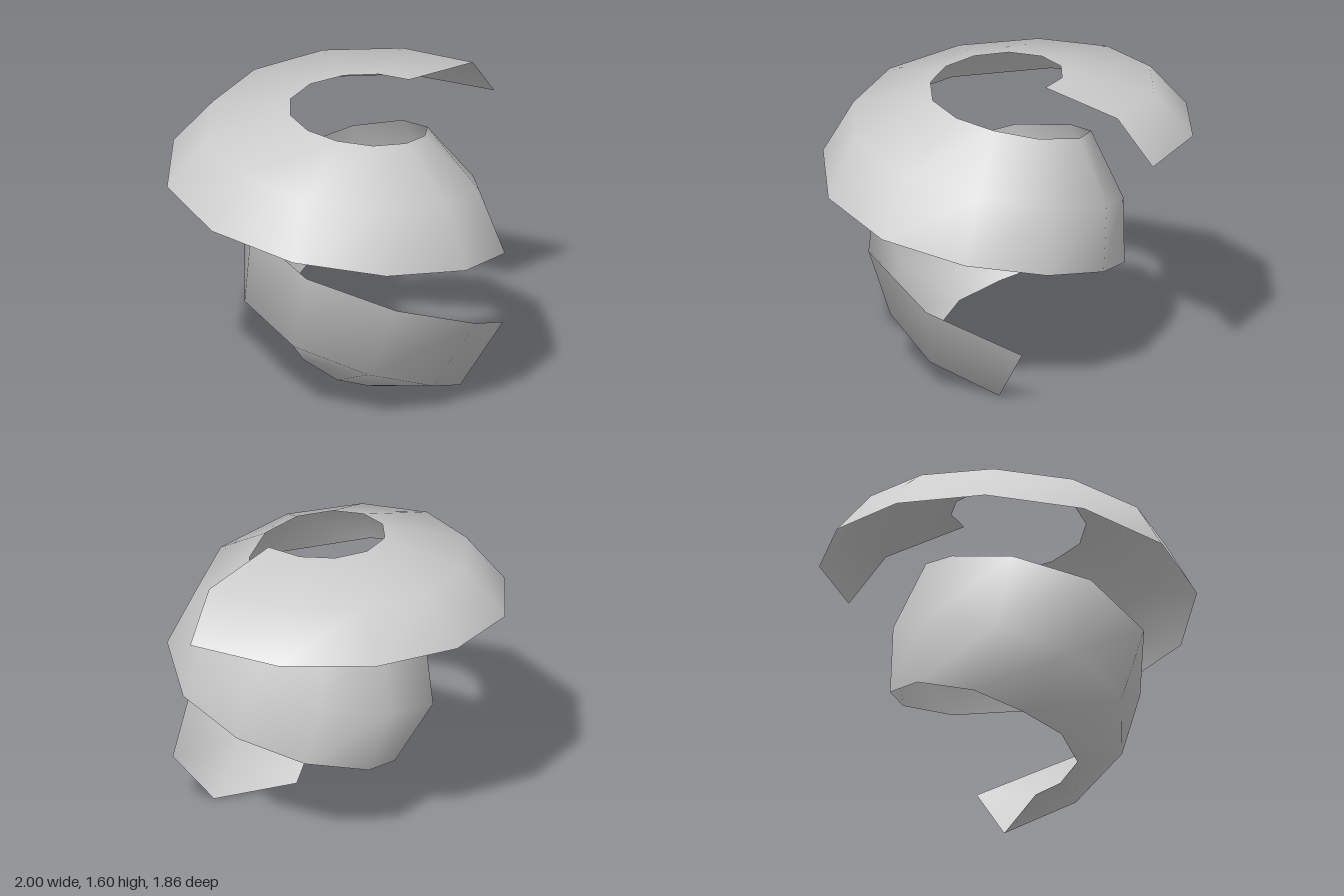
import * as THREE from 'three';

const SEGMENTS = 20; // steps along the peel
const AXIS = { x: -0.04, z: 0.08 }; // vertical axis the peel winds around

// Points [x, y, z] on the three lengthwise edges, every second step from top to bottom
const upperEdge = [
  [0.32, 1.6, 0.1], [0.15, 1.58, -0.21], [-0.22, 1.555, -0.22], [-0.39, 1.52, 0.08],
  [-0.21, 1.47, 0.38], [0.19, 1.4, 0.35], [0.42, 1.3, -0.05], [0.03, 1.16, -0.42],
  [-0.62, 0.97, -0.1], [-0.36, 0.69, 0.71], [0.56, 0.31, 0.55],
];
const middleRidge = [
  [0.8, 1.55, 0.08], [0.4, 1.525, -0.62], [-0.38, 1.465, -0.63], [-0.82, 1.38, 0.03],
  [-0.47, 1.27, 0.69], [0.32, 1.14, 0.62], [0.61, 0.97, -0.05], [0.1, 0.77, -0.55],
  [-0.57, 0.53, -0.2], [-0.38, 0.28, 0.52], [0.33, 0, 0.47],
];
const lowerEdge = [
  [1, 1.32, 0.03], [0.49, 1.29, -0.8], [-0.47, 1.215, -0.83], [-1, 1.11, 0],
  [-0.54, 0.97, 0.82], [0.36, 0.82, 0.77], [0.65, 0.64, 0.02], [0.2, 0.46, -0.49],
  [-0.26, 0.28, -0.2], [-0.31, 0.14, 0.22], [-0.04, 0.03, 0.23],
];

// Smooth an edge in (angle, radius, height) so that it keeps winding round the axis
function windEdge(points) {
  let last = -1;
  const polar = points.map(([x, y, z]) => {
    const dx = x - AXIS.x, dz = z - AXIS.z;
    let angle = Math.atan2(-dz, dx);
    while (angle < last) angle += Math.PI * 2;
    last = angle;
    return new THREE.Vector3(angle, Math.hypot(dx, dz), y);
  });
  const curve = new THREE.CatmullRomCurve3(polar, false, 'catmullrom', 0.5);
  return curve.getPoints(SEGMENTS).map((p) => [
    AXIS.x + Math.cos(p.x) * p.y, p.z, AXIS.z - Math.sin(p.x) * p.y,
  ]);
}

// Join the edges into one smooth ribbon
function ribbonGeometry(edges) {
  const positions = [], indices = [], n = edges.length;
  for (let k = 0; k <= SEGMENTS; k++) {
    for (const edge of edges) positions.push(...edge[k]);
    if (k === SEGMENTS) break;
    for (let j = 0; j < n - 1; j++) {
      const a = k * n + j, b = a + 1, c = a + n, d = c + 1;
      indices.push(a, b, c, b, d, c);
    }
  }
  const geometry = new THREE.BufferGeometry();
  geometry.setAttribute('position', new THREE.Float32BufferAttribute(positions, 3));
  geometry.setIndex(indices);
  geometry.computeVertexNormals();
  return geometry;
}

export function createModel() {
  const group = new THREE.Group();
  group.name = 'spiralPeel';

  const grey = new THREE.MeshStandardMaterial({ color: 0xcccccc, side: THREE.DoubleSide });
  grey.name = 'light grey';

  // Open strip winding down like a fruit peel
  const edges = [upperEdge, middleRidge, lowerEdge].map(windEdge);
  const peel = new THREE.Mesh(ribbonGeometry(edges), grey);
  peel.name = 'peelRibbon';
  group.add(peel);
  return group;
}
